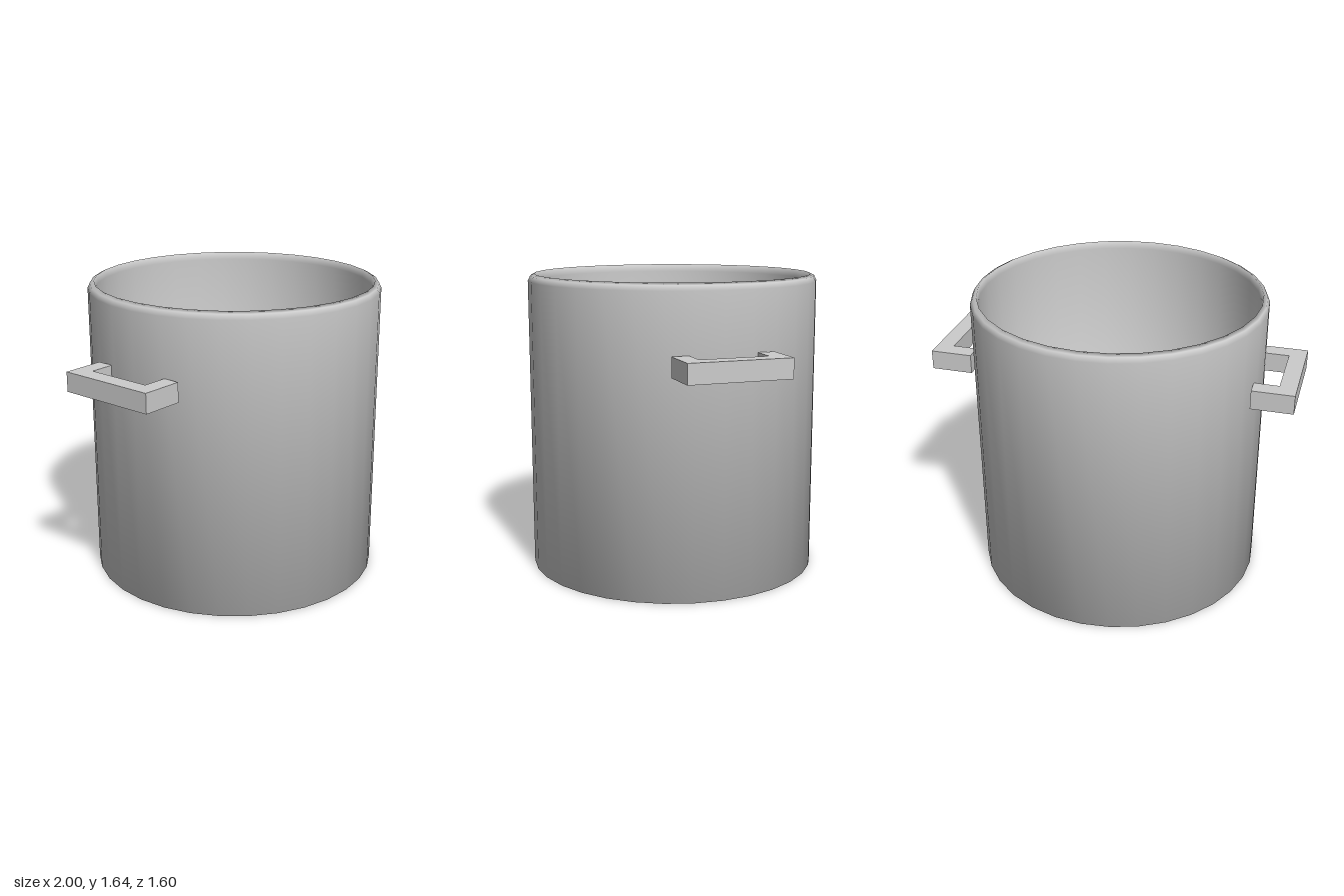
import * as THREE from 'three';

export function createModel() {
  const group = new THREE.Group();
  const material = new THREE.MeshStandardMaterial({ color: 0xcccccc });

  // Hollow pot: underside, outer wall, rounded rim, inner wall, floor
  const profile = [
    [0, 0], [0.8, 0], [0.8, 1.605], [0.787, 1.632], [0.765, 1.643],
    [0.76, 1.6], [0.76, 0.04], [0, 0.04],
  ].map(([r, y]) => new THREE.Vector2(r, y));
  const pot = new THREE.Mesh(new THREE.LatheGeometry(profile, 32), material);
  pot.name = 'pot';
  group.add(pot);

  // Square-section U handle, drawn in plan and extruded upwards
  const outline = [
    [0.772, -0.277], [1, -0.277], [1, 0.277], [0.772, 0.277],
    [0.772, 0.184], [0.907, 0.184], [0.907, -0.184], [0.772, -0.184],
  ].map(([x, z]) => new THREE.Vector2(x, z));
  const handleGeometry = new THREE.ExtrudeGeometry(new THREE.Shape(outline), {
    depth: 0.106, bevelEnabled: false,
  });
  handleGeometry.rotateX(-Math.PI / 2);

  for (const [name, turn] of [['leftHandle', 0], ['rightHandle', Math.PI]]) {
    const handle = new THREE.Mesh(handleGeometry, material);
    handle.name = name;
    handle.position.y = 1.181;
    handle.rotation.y = turn;
    group.add(handle);
  }
  return group;
}
